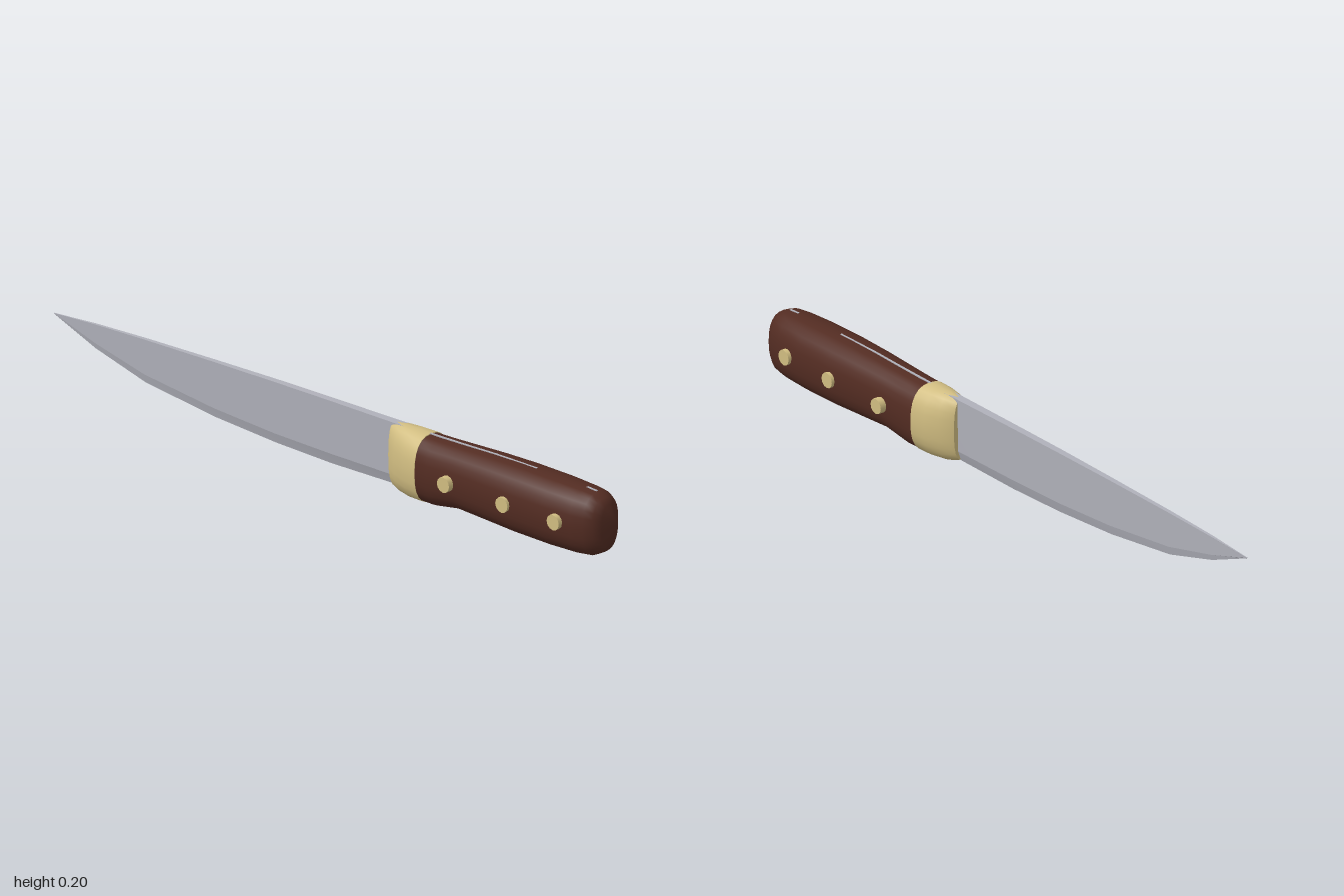
import * as THREE from 'three';
import { toCreasedNormals } from 'three/addons/utils/BufferGeometryUtils.js';

const mat = (name, color) => Object.assign(new THREE.MeshStandardMaterial({ color }), { name });

// Skin a list of equal-length rings, ordered by rising z, and cap both ends.
function loft(rings, crease) {
  const n = rings[0].length, index = [];
  for (let i = 0; i < rings.length - 1; i++) {
    for (let j = 0; j < n; j++) {
      const a = i * n + j, b = i * n + (j + 1) % n;
      index.push(a, b, b + n, a, b + n, a + n);
    }
  }
  const last = (rings.length - 1) * n;
  for (let j = 1; j < n - 1; j++) {
    index.push(0, j + 1, j, last, last + j, last + j + 1);
  }
  const geo = new THREE.BufferGeometry();
  geo.setAttribute('position', new THREE.Float32BufferAttribute(rings.flat(2), 3));
  geo.setIndex(index);
  return toCreasedNormals(geo, crease);
}

// Rounded-square ring: z, half width, bottom, top.
function oval([z, w, bottom, top], sides = 24, power = 0.8) {
  const bend = (v) => Math.sign(v) * Math.abs(v) ** power;
  return Array.from({ length: sides }, (_, i) => {
    const t = (i / sides) * Math.PI * 2;
    return [w * bend(Math.cos(t)), (top + bottom) / 2 + ((top - bottom) / 2) * bend(Math.sin(t)), z];
  });
}

// Blade ring: z, half thickness at spine, edge, bevel line, spine.
const bladeRing = ([z, w, edge, bevel, spine]) => [
  [w, spine, z], [-w, spine, z], [-w * 0.8, bevel, z], [0, edge, z], [w * 0.8, bevel, z],
];

export function createModel() {
  const group = new THREE.Group();
  group.name = 'knife';
  const wood = mat('dark wood', 0x532c22);
  const brass = mat('brass', 0xd2be82);
  const steel = mat('steel', 0xb0b1ba);
  const add = (name, geo, material) => {
    const mesh = new THREE.Mesh(geo, material);
    mesh.name = name;
    group.add(mesh);
    return mesh;
  };

  // Blade with a curved belly and ground bevel
  add('blade', loft([
    [-1, 0.001, 0.174, 0.175, 0.176],
    [-0.85, 0.004, 0.115, 0.131, 0.185],
    [-0.67, 0.006, 0.066, 0.09, 0.191],
    [-0.42, 0.008, 0.035, 0.062, 0.196],
    [-0.2, 0.01, 0.021, 0.05, 0.199],
    [0, 0.011, 0.016, 0.047, 0.2],
    [0.28, 0.013, 0.02, 0.048, 0.2],
  ].map(bladeRing), 0.12), steel);

  // Bolster
  add('bolster', loft([
    [0.225, 0.024, 0.022, 0.197],
    [0.235, 0.032, 0.016, 0.2],
    [0.265, 0.047, 0.009, 0.202],
    [0.31, 0.061, 0.005, 0.202],
    [0.358, 0.067, 0.006, 0.2],
  ].map((r) => oval(r)), 0.7), brass);

  // Grip
  add('grip', loft([
    [0.355, 0.066, 0.008, 0.198],
    [0.4, 0.068, 0.008, 0.198],
    [0.49, 0.071, 0.023, 0.2],
    [0.59, 0.076, 0.019, 0.203],
    [0.7, 0.08, 0.014, 0.204],
    [0.83, 0.08, 0.012, 0.202],
    [0.92, 0.073, 0.013, 0.199],
    [0.96, 0.065, 0.017, 0.196],
    [0.985, 0.051, 0.03, 0.186],
    [1, 0.031, 0.046, 0.17],
  ].map((r) => oval(r)), 0.9), wood);

  // Tang showing along the back and belly of the grip: z, bottom, top
  const strip = (name, w, rows) => add(name, loft(rows.map(([z, lo, hi]) => [
    [w, lo, z], [w, hi, z], [-w, hi, z], [-w, lo, z],
  ]), 0.3), steel);
  strip('tangTop', 0.003, [[0.35, 0.18, 0.2], [0.49, 0.18, 0.202], [0.59, 0.18, 0.2045], [0.74, 0.18, 0.204]]);
  strip('tangEnd', 0.003, [[0.92, 0.18, 0.2], [0.955, 0.18, 0.198]]);
  strip('tangBottom', 0.01, [[0.41, 0.011, 0.04], [0.49, 0.017, 0.04], [0.59, 0.016, 0.04], [0.68, 0.015, 0.04]]);

  // Rivets passing through the grip
  for (const z of [0.48, 0.69, 0.875]) {
    const rivet = add('rivet', new THREE.CylinderGeometry(0.022, 0.022, 0.176, 12), brass);
    rivet.rotation.z = Math.PI / 2;
    rivet.position.set(0, 0.11, z);
  }
  return group;
}
